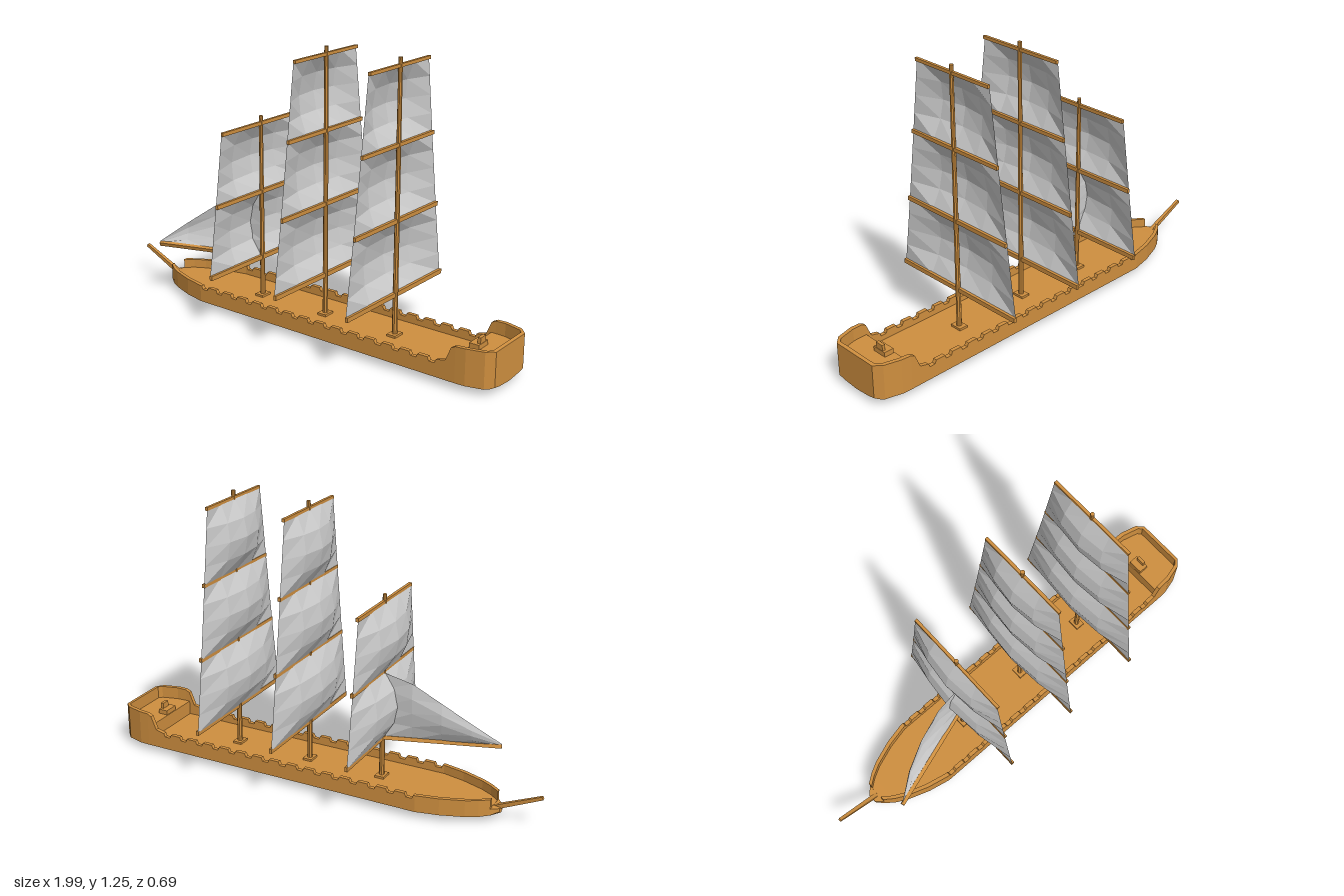
import * as THREE from 'three';

const wood = new THREE.MeshStandardMaterial({ color: 0xcf8f3f, flatShading: true });
const cloth = new THREE.MeshStandardMaterial({ color: 0xcccccc, flatShading: true, side: THREE.DoubleSide });

function add(parent, name, geometry, material, x = 0, y = 0, z = 0) {
  const mesh = new THREE.Mesh(geometry, material);
  mesh.name = name;
  mesh.position.set(x, y, z);
  parent.add(mesh);
  return mesh;
}

// Spar of n sides running from a to b
function spar(parent, name, a, b, rA, rB, sides) {
  const dir = b.clone().sub(a);
  const geo = new THREE.CylinderGeometry(rB, rA, dir.length(), sides);
  geo.rotateY(Math.PI / sides);
  const mesh = add(parent, name, geo, wood);
  mesh.position.copy(a).add(b).multiplyScalar(0.5);
  mesh.quaternion.setFromUnitVectors(new THREE.Vector3(0, 1, 0), dir.normalize());
  return mesh;
}

// Grid surface from a rule (u, v) -> [x, y, z]
function gridSurface(nu, nv, rule) {
  const geo = new THREE.PlaneGeometry(1, 1, nu, nv);
  const pos = geo.attributes.position;
  for (let i = 0; i < pos.count; i++) {
    pos.setXYZ(i, ...rule(pos.getX(i) + 0.5, pos.getY(i) + 0.5));
  }
  geo.computeVertexNormals();
  return geo;
}

// Hull stations, bow to stern: [x, half width, keel y, rail y, deck y]
function hullStations() {
  const s = [
    [-0.82, 0.02, 0.034, 0.062, 0.062],
    [-0.79, 0.05, 0.024, 0.066, 0.066],
    [-0.79, 0.05, 0.024, 0.11, 0.068],
    [-0.75, 0.08, 0.019, 0.11, 0.07],
    [-0.70, 0.107, 0.015, 0.11, 0.07],
    [-0.60, 0.143, 0.011, 0.11, 0.07],
    [-0.50, 0.165, 0.008, 0.11, 0.07],
  ];
  // Gun notches along the rail
  for (let i = 0; i < 15; i++) {
    const c = -0.473 + i * 0.0865;
    const keel = 0.002 + 0.006 * Math.abs(c) / 0.7;
    for (const [d, top] of [[-0.02, 0.11], [-0.013, 0.094], [0.013, 0.094], [0.02, 0.11]]) {
      s.push([c + d, 0.165, keel, top, 0.07]);
    }
  }
  // Raised stern
  s.push(
    [0.80, 0.165, 0.01, 0.12, 0.07],
    [0.825, 0.165, 0.01, 0.18, 0.07],
    [0.825, 0.165, 0.01, 0.18, 0.135],
    [0.845, 0.165, 0.011, 0.19, 0.135],
    [0.89, 0.163, 0.012, 0.192, 0.135],
    [0.965, 0.143, 0.016, 0.192, 0.135],
    [0.98, 0.128, 0.018, 0.192, 0.135],
    [0.98, 0.128, 0.018, 0.192, 0.192],
    [0.996, 0.112, 0.026, 0.19, 0.19],
  );
  return s;
}

// Section loop: keel, bilge, side, rail, inner wall, deck, then mirrored
function hullSection([x, w, keel, top, deck]) {
  const inner = w - Math.min(0.018, w * 0.35);
  const half = [[w * 0.67, keel + 0.006], [w, Math.max(0.034, keel + 0.013)], [w, top], [inner, top], [inner, deck]];
  return [
    [x, keel, 0],
    ...half.map(([z, y]) => [x, y, z]),
    ...half.reverse().map(([z, y]) => [x, y, -z]),
  ];
}

function hullGeometry() {
  const loops = hullStations().map(hullSection);
  const n = loops[0].length;
  const index = [];
  for (let i = 0; i < loops.length - 1; i++) {
    for (let j = 0; j < n; j++) {
      const a = i * n + j, b = i * n + (j + 1) % n;
      index.push(a, a + n, b + n, a, b + n, b);
    }
  }
  // End caps
  const last = (loops.length - 1) * n;
  for (let j = 1; j < n - 1; j++) {
    index.push(0, j, j + 1, last, last + j + 1, last + j);
  }
  const geo = new THREE.BufferGeometry();
  geo.setAttribute('position', new THREE.Float32BufferAttribute(loops.flat(2), 3));
  geo.setIndex(index);
  const flat = geo.toNonIndexed();
  flat.computeVertexNormals();
  return flat;
}

// Mast with its foot plate, yards and billowing square sails
function buildMast(name, x, height, yards) {
  const g = new THREE.Group();
  g.name = name;
  g.position.x = x;
  spar(g, 'mastPole', new THREE.Vector3(0, 0.06, 0), new THREE.Vector3(0, height, 0), 0.012, 0.009, 8);
  add(g, 'mastFoot', new THREE.BoxGeometry(0.042, 0.012, 0.055), wood, 0, 0.074, 0);
  yards.forEach(([y, half], i) => {
    add(g, 'yard', new THREE.BoxGeometry(0.013, 0.02 - i * 0.002, half * 2), wood, 0, y, 0);
    if (i === yards.length - 1) return;
    const [y2, half2] = yards[i + 1];
    add(g, 'squareSail', gridSurface(4, 4, (u, v) => {
      const side = u * 2 - 1, up = v * 2 - 1;
      const billow = 0.063 * (1 - side * side) * (1 - up * up);
      return [-0.004 - billow, y + (y2 - y) * v, side * (half + (half2 - half) * v)];
    }), cloth);
  });
  return g;
}

export function createModel() {
  const ship = new THREE.Group();
  ship.name = 'sailingShip';

  add(ship, 'hull', hullGeometry(), wood);
  spar(ship, 'bowsprit', new THREE.Vector3(-0.77, 0.045, 0), new THREE.Vector3(-0.996, 0.147, 0), 0.014, 0.01, 4);

  // Helm stand on the stern deck
  add(ship, 'helmBase', new THREE.BoxGeometry(0.045, 0.022, 0.07), wood, 0.852, 0.145, 0);
  add(ship, 'helmBack', new THREE.BoxGeometry(0.014, 0.03, 0.04), wood, 0.866, 0.167, 0);

  const tall = [[0.255, 0.343], [0.577, 0.296], [0.898, 0.252], [1.22, 0.21]];
  const short = [[0.255, 0.343], [0.562, 0.296], [0.872, 0.252]];
  ship.add(buildMast('foreMast', -0.27, 0.905, short));
  ship.add(buildMast('mainMast', 0.085, 1.253, tall));
  ship.add(buildMast('aftMast', 0.45, 1.253, tall));

  // Fore-and-aft sail swung out to the left on its boom
  const tack = new THREE.Vector3(-0.27, 0.255, 0), clew = new THREE.Vector3(-0.753, 0.255, 0.157);
  spar(ship, 'boom', tack, clew, 0.012, 0.012, 4);
  const edge = new THREE.CatmullRomCurve3(
    [[0, 0.557], [0.25, 0.525], [0.5, 0.448], [0.75, 0.36], [1, 0.266]].map(([s, y]) => new THREE.Vector3(s, y, 0)));
  add(ship, 'foreAndAftSail', gridSurface(4, 4, (u, v) => {
    const top = edge.getPoint(u).y;
    const belly = 0.05 * 4 * u * (1 - u) * Math.sin(v * Math.PI * 0.7);
    return [
      tack.x + (clew.x - tack.x) * u - belly * 0.3,
      tack.y + (top - tack.y) * v,
      clew.z * u - belly * 0.95,
    ];
  }), cloth);

  return ship;
}
